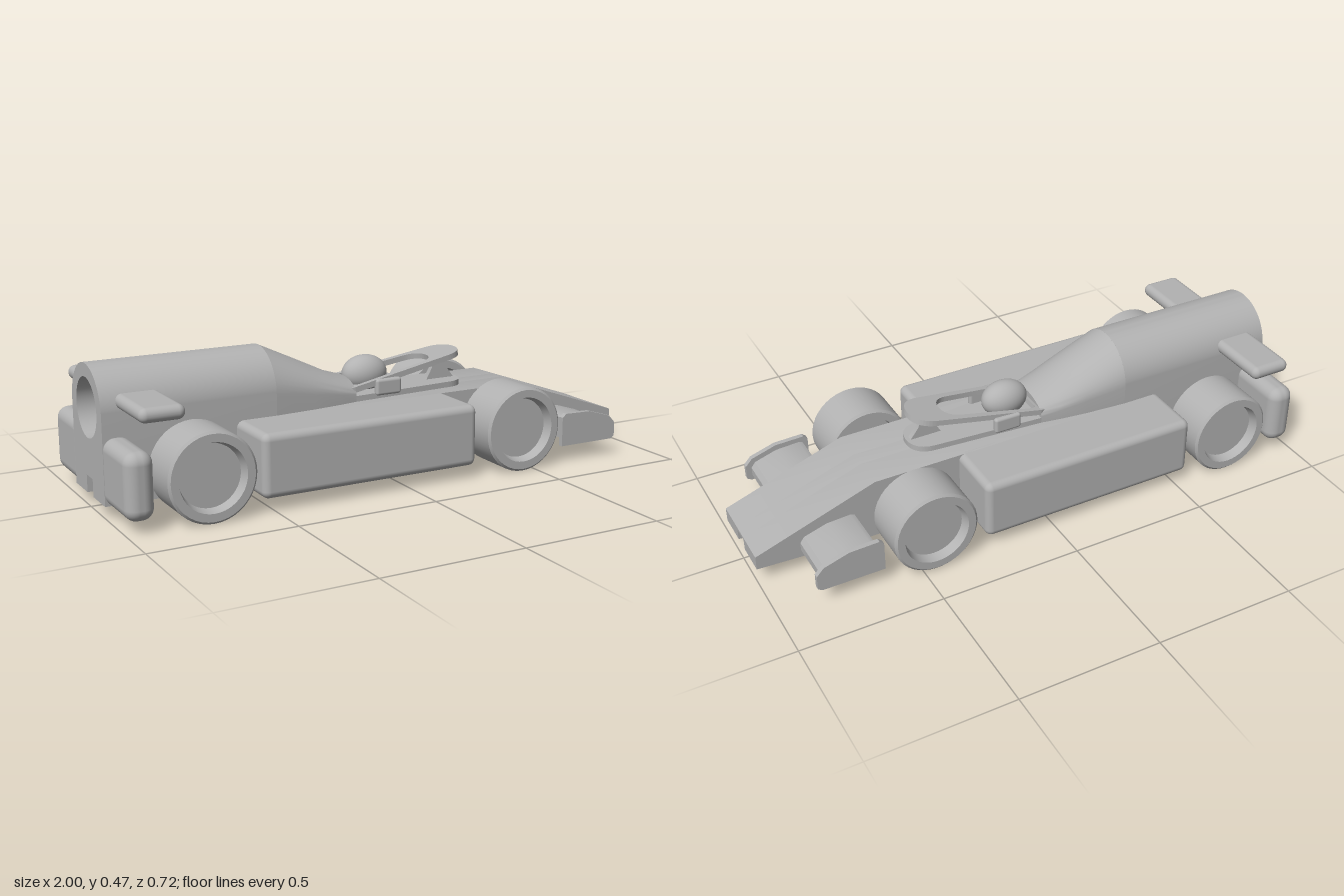
import * as THREE from 'three';
import { toCreasedNormals } from 'three/addons/utils/BufferGeometryUtils.js';
import { RoundedBoxGeometry } from 'three/addons/geometries/RoundedBoxGeometry.js';

const W = 0.145; // half width of the body

function polygon(points) {
  return new THREE.Shape(points.map(([x, y]) => new THREE.Vector2(x, y)));
}

function extrude(shape, depth) {
  return new THREE.ExtrudeGeometry(shape, { depth, bevelEnabled: false, curveSegments: 24 });
}

// Rounded box given by its limits on each axis
function roundedBox(x0, x1, y0, y1, z0, z1, r) {
  return new RoundedBoxGeometry(x1 - x0, y1 - y0, z1 - z0, 4, r)
    .translate((x0 + x1) / 2, (y0 + y1) / 2, (z0 + z1) / 2);
}

// Arched sections [x, halfWidth, shoulderY, topY] joined along x and capped at both ends
function loftCowl(sections, baseY) {
  const steps = 24, n = steps + 3, pos = [], index = [];
  for (const [x, w, shoulder, top] of sections) {
    pos.push(x, baseY, w);
    for (let j = 0; j <= steps; j++) {
      const a = Math.PI * j / steps;
      pos.push(x, shoulder + (top - shoulder) * Math.sin(a), w * Math.cos(a));
    }
    pos.push(x, baseY, -w);
  }
  for (let i = 0; i < sections.length - 1; i++) {
    for (let j = 0; j < n - 1; j++) {
      const a = i * n + j, b = a + n;
      index.push(a, b, a + 1, a + 1, b, b + 1);
    }
  }
  const last = (sections.length - 1) * n;
  for (let j = 1; j < n - 1; j++) {
    index.push(0, j, j + 1, last, last + j + 1, last + j);
  }
  const g = new THREE.BufferGeometry();
  g.setAttribute('position', new THREE.Float32BufferAttribute(pos, 3));
  g.setIndex(index);
  return g;
}

// Tapering cockpit outline seen from above, rounded at the front
function cockpitOutline(target, x0, x1, w0, w1) {
  const r = w1 * 0.95;
  target.moveTo(x0 + 0.02, -w0);
  target.lineTo(x1 - r, -w1);
  target.bezierCurveTo(x1 - r * 0.3, -w1 * 0.95, x1, -w1 * 0.55, x1, 0);
  target.bezierCurveTo(x1, w1 * 0.55, x1 - r * 0.3, w1 * 0.95, x1 - r, w1);
  target.lineTo(x0 + 0.02, w0);
  target.quadraticCurveTo(x0, w0, x0, w0 - 0.02);
  target.lineTo(x0, -w0 + 0.02);
  target.quadraticCurveTo(x0, -w0, x0 + 0.02, -w0);
  return target;
}

export function createModel() {
  const car = new THREE.Group();
  car.name = 'racingCar';
  const grey = new THREE.MeshStandardMaterial({ color: 0xb2b2b2 });
  grey.name = 'grey';

  const add = (name, geometry, creased = true) => {
    const mesh = new THREE.Mesh(creased ? toCreasedNormals(geometry, 0.5) : geometry, grey);
    mesh.name = name;
    car.add(mesh);
    return mesh;
  };

  // Rear body: arched section with a floor groove and a bore
  const rear = polygon([[-W, 0.04], [-0.03, 0.04], [-0.03, 0.1], [0.03, 0.1], [0.03, 0.04], [W, 0.04]]);
  rear.lineTo(W, 0.33);
  rear.absarc(0, 0.33, W, 0, Math.PI, false);
  rear.closePath();
  rear.holes.push(new THREE.Path().absarc(0, 0.33, 0.1, 0, Math.PI * 2, true));
  add('rearBody', extrude(rear, 0.6).rotateY(Math.PI / 2).translate(-1, 0, 0));

  // Front body and nose: two side slabs and a shallower centre over the groove
  const sideProfile = polygon([[-0.4, 0.04], [0.6, 0.04], [1, 0.06], [1, 0.11], [0.57, 0.26], [-0.4, 0.26]]);
  const midProfile = polygon([[-0.4, 0.1], [1, 0.1], [1, 0.11], [0.57, 0.26], [-0.4, 0.26]]);
  add('leftBody', extrude(sideProfile, W - 0.03).translate(0, 0, 0.03));
  add('rightBody', extrude(sideProfile, W - 0.03).translate(0, 0, -W));
  add('centreBody', extrude(midProfile, 0.06).translate(0, 0, -0.03));

  // Engine cowl falling to the cockpit
  add('cowl', loftCowl([
    [-0.4, W, 0.33, 0.475],
    [-0.25, 0.133, 0.31, 0.405],
    [-0.15, 0.12, 0.295, 0.357],
    [-0.08, 0.108, 0.285, 0.335],
  ], 0.255));

  // Cockpit floor
  const tub = cockpitOutline(new THREE.Shape(), -0.1, 0.39, 0.108, 0.078);
  add('cockpitFloor', extrude(tub, 0.025).rotateX(-Math.PI / 2).translate(0, 0.255, 0));

  // Helmet
  const helmet = new THREE.SphereGeometry(1, 32, 20).scale(0.085, 0.065, 0.06);
  add('helmet', helmet.translate(0.01, 0.332, 0), false);

  // Head guard: sloping ring, front pillar and rear feet
  const ring = cockpitOutline(new THREE.Shape(), -0.1, 0.39, 0.105, 0.08);
  ring.holes.push(cockpitOutline(new THREE.Path(), -0.07, 0.27, 0.085, 0.063));
  const guard = add('headGuard', extrude(ring, 0.02).rotateX(-Math.PI / 2));
  guard.position.y = 0.305;
  guard.rotation.z = 0.17;
  const pillar = polygon([[0.26, 0.275], [0.38, 0.275], [0.345, 0.32], [0.335, 0.37], [0.29, 0.36], [0.285, 0.32]]);
  add('guardPillar', extrude(pillar, 0.02).translate(0, 0, -0.01));

  // Front wing profile and end plate profile
  const wing = polygon([[0.65, 0.08], [0.65, 0.155], [0.665, 0.16], [0.75, 0.155], [0.83, 0.13], [0.845, 0.11], [0.845, 0.08]]);
  const endPlate = polygon([[0.63, 0.06], [0.63, 0.165], [0.645, 0.178], [0.75, 0.175], [0.84, 0.147], [0.865, 0.12], [0.865, 0.07], [0.85, 0.06]]);

  // Wheel section with a recess on both faces
  const tyre = [[0, -0.055], [0.105, -0.055], [0.115, -0.0875], [0.142, -0.0875], [0.15, -0.08],
    [0.15, 0.08], [0.142, 0.0875], [0.115, 0.0875], [0.105, 0.055], [0, 0.055]]
    .map(([r, y]) => new THREE.Vector2(r, y));

  // Parts repeated on each side
  for (const [side, s] of [['left', 1], ['right', -1]]) {
    const span = (a, b) => (s > 0 ? [a, b] : [-b, -a]);
    add(side + 'SidePod', roundedBox(-0.545, 0.26, 0.045, 0.26, ...span(0.11, 0.35), 0.025), false);
    add(side + 'RearFence', roundedBox(-1, -0.905, 0.04, 0.26, ...span(0.112, 0.358), 0.04), false);
    add(side + 'RearWing', roundedBox(-0.95, -0.8, 0.347, 0.395, ...span(0.11, 0.36), 0.0235), false);
    add(side + 'GuardFoot', roundedBox(0, 0.1, 0.27, 0.328, ...span(0.085, 0.11), 0.01), false);
    add(side + 'FrontWing', extrude(wing, 0.2).translate(0, 0, span(0.13, 0.33)[0]));
    add(side + 'EndPlate', extrude(endPlate, 0.018).translate(0, 0, span(0.322, 0.34)[0]));
    for (const [end, x] of [['Rear', -0.72], ['Front', 0.45]]) {
      const wheel = new THREE.LatheGeometry(tyre, 40).rotateX(Math.PI / 2);
      add(side + end + 'Wheel', wheel.translate(x, 0.15, s * 0.2725));
      const axle = new THREE.CylinderGeometry(0.04, 0.04, 0.12, 24).rotateX(Math.PI / 2);
      add(side + end + 'Axle', axle.translate(x, 0.15, s * 0.17));
      const washer = new THREE.CylinderGeometry(0.06, 0.06, 0.04, 24).rotateX(Math.PI / 2);
      add(side + end + 'Washer', washer.translate(x, 0.15, s * 0.14));
    }
  }
  return car;
}
